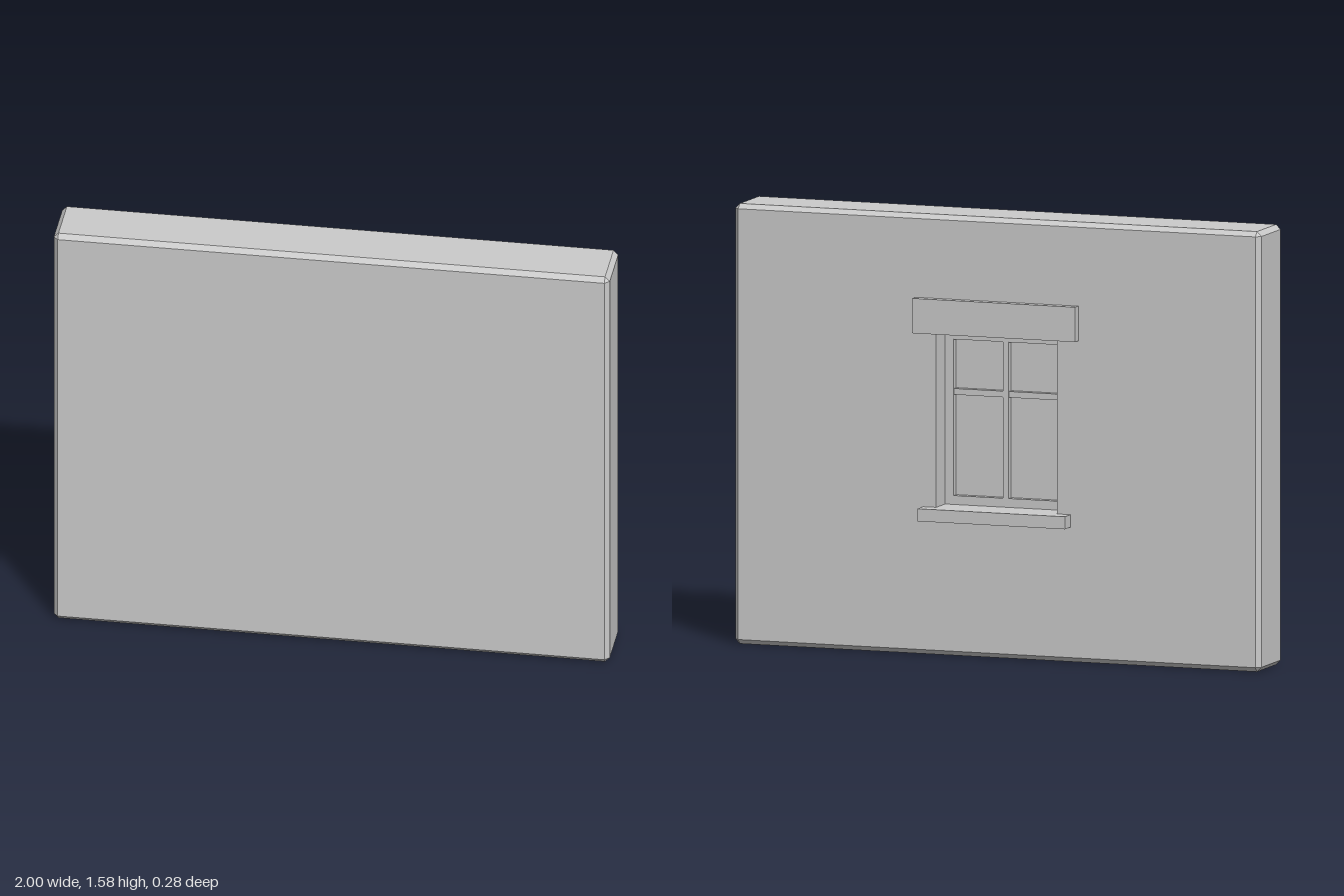
import * as THREE from 'three';

const H = 1.58, FRONT = 0.14, BACK = -0.085, BEVEL = 0.017;
const OPEN = { x: 0.23, y0: 0.53, y1: 1.155 };   // window opening
const FRAME_Z = 0.005, PANE_Z = 0.03;            // frame face and pane depth

const material = new THREE.MeshStandardMaterial({ color: 0xcccccc, flatShading: true });

function addMesh(parent, name, geometry) {
  const mesh = new THREE.Mesh(geometry, material);
  mesh.name = name;
  parent.add(mesh);
  return mesh;
}

// Box given by its limits on each axis
function addBox(parent, name, x0, x1, y0, y1, z0, z1) {
  const mesh = addMesh(parent, name, new THREE.BoxGeometry(x1 - x0, y1 - y0, z1 - z0));
  mesh.position.set((x0 + x1) / 2, (y0 + y1) / 2, (z0 + z1) / 2);
  return mesh;
}

// Eight-cornered outline of the wall, counter-clockwise, inset on all sides
function outline(inset, cut) {
  const w = 1 - inset, b = inset, t = H - inset;
  return [
    [w - cut, b], [w, b + cut], [w, t - cut], [w - cut, t],
    [-w + cut, t], [-w, t - cut], [-w, b + cut], [-w + cut, b],
  ];
}

// Chamfered rim joining the front and back faces
function rimGeometry() {
  const rings = [[BEVEL, 0, FRONT], [0, BEVEL, FRONT - BEVEL], [0, BEVEL, BACK + BEVEL], [BEVEL, 0, BACK]]
    .map(([inset, cut, z]) => outline(inset, cut).map(([x, y]) => new THREE.Vector3(x, y, z)));
  const points = [];
  const triangle = (a, b, c) => {
    if (!a.equals(b) && !b.equals(c) && !c.equals(a)) points.push(a, b, c);
  };
  for (let r = 0; r < 3; r++) {
    for (let i = 0; i < 8; i++) {
      const j = (i + 1) % 8;
      triangle(rings[r][i], rings[r + 1][i], rings[r + 1][j]);
      triangle(rings[r][i], rings[r + 1][j], rings[r][j]);
    }
  }
  const geometry = new THREE.BufferGeometry().setFromPoints(points);
  geometry.computeVertexNormals();
  return geometry;
}

function rectangle(Type, x, y0, y1) {
  return new Type([[-x, y0], [x, y0], [x, y1], [-x, y1]].map(p => new THREE.Vector2(...p)));
}

function createWall() {
  const wall = new THREE.Group();
  wall.name = 'wall';
  addMesh(wall, 'wallRim', rimGeometry());

  const face = rectangle(THREE.Shape, 1 - BEVEL, BEVEL, H - BEVEL);
  addMesh(wall, 'wallFront', new THREE.ShapeGeometry(face)).position.z = FRONT;

  // Back face with the window opening cut out, turned to face -z
  const pierced = face.clone();
  pierced.holes.push(rectangle(THREE.Path, OPEN.x, OPEN.y0, OPEN.y1));
  const back = addMesh(wall, 'wallBack', new THREE.ShapeGeometry(pierced));
  back.rotation.y = Math.PI;
  back.position.z = BACK;

  // Four inner sides of the opening
  const depth = PANE_Z - BACK, midZ = (PANE_Z + BACK) / 2;
  const width = OPEN.x * 2, height = OPEN.y1 - OPEN.y0, midY = (OPEN.y0 + OPEN.y1) / 2;
  for (const side of [-1, 1]) {
    const jamb = addMesh(wall, side > 0 ? 'leftReveal' : 'rightReveal', new THREE.PlaneGeometry(depth, height));
    jamb.rotation.y = -side * Math.PI / 2;
    jamb.position.set(side * OPEN.x, midY, midZ);
    const level = addMesh(wall, side > 0 ? 'topReveal' : 'bottomReveal', new THREE.PlaneGeometry(width, depth));
    level.rotation.x = side * Math.PI / 2;
    level.position.set(0, side > 0 ? OPEN.y1 : OPEN.y0, midZ);
  }
  return wall;
}

function createWindow() {
  const group = new THREE.Group();
  group.name = 'window';
  const { x, y0, y1 } = OPEN, f = 0.032, bar = 0.011, barY = 0.935;

  // Outer frame around the panes
  const frame = rectangle(THREE.Shape, x, y0, y1);
  frame.holes.push(rectangle(THREE.Path, x - f, y0 + f, y1 - f));
  addMesh(group, 'windowFrame',
    new THREE.ExtrudeGeometry(frame, { depth: PANE_Z - FRAME_Z, bevelEnabled: false })).position.z = FRAME_Z;

  // Crossing glazing bars and the pane behind them
  addBox(group, 'verticalBar', -bar, bar, y0 + f, y1 - f, FRAME_Z, PANE_Z);
  addBox(group, 'horizontalBar', -x + f, x - f, barY - bar, barY + bar, FRAME_Z + 0.002, PANE_Z);
  addBox(group, 'pane', -x, x, y0, y1, PANE_Z, PANE_Z + 0.01);

  // Projecting lintel above and sill below
  addBox(group, 'lintel', -0.31, 0.31, y1, 1.28, -0.115, BACK);
  addBox(group, 'sill', -0.28, 0.28, 0.485, y0, -0.14, BACK);
  return group;
}

export function createModel() {
  const model = new THREE.Group();
  model.name = 'wallWithWindow';
  model.add(createWall(), createWindow());
  return model;
}
